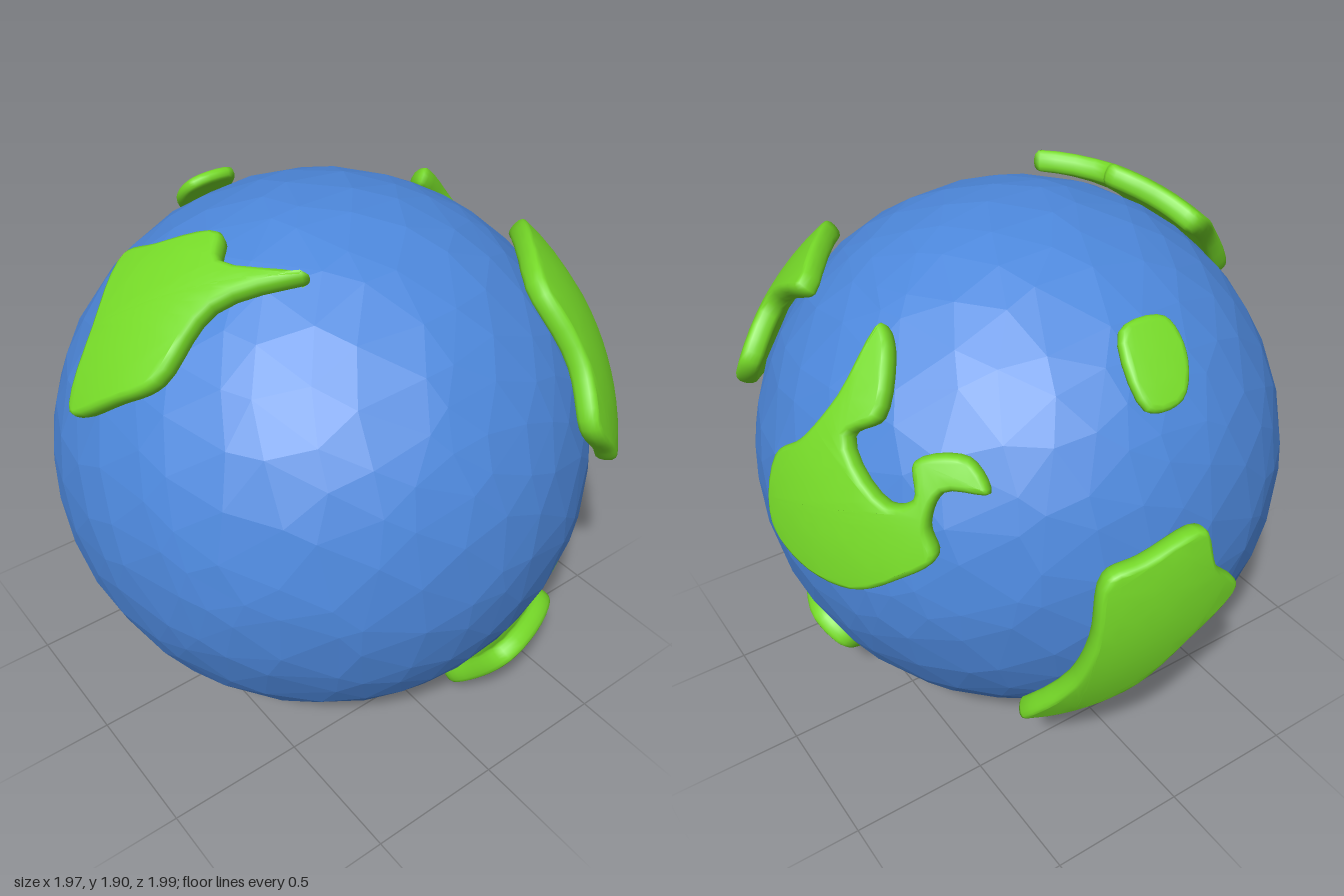
import * as THREE from 'three';
import { mergeVertices } from 'three/addons/utils/BufferGeometryUtils.js';

const CENTRE = new THREE.Vector3(-0.03, 0.975, 0.045);
const RADIUS = 0.95;

// Directions an outline can be drawn from: azimuth and elevation in degrees
const FRONT = [0, 0];
const SIDE = [90, 0];
const TOP = [0, 90];
const BACK_LOW = [141, -25];

// Direction from the globe centre to an outline point; a triple is already a position in space
function toDirection(p, [azimuth, elevation]) {
  if (p.length === 3) return new THREE.Vector3(...p).sub(CENTRE).normalize();
  const a = THREE.MathUtils.degToRad(azimuth), e = THREE.MathUtils.degToRad(elevation);
  const out = new THREE.Vector3(Math.sin(a) * Math.cos(e), Math.sin(e), Math.cos(a) * Math.cos(e));
  const right = new THREE.Vector3(Math.cos(a), 0, -Math.sin(a));
  const up = out.clone().cross(right);
  const u = p[0] - right.dot(CENTRE), v = p[1] - up.dot(CENTRE);
  const w = Math.sqrt(Math.max(0.002, 1.03 ** 2 - u * u - v * v));
  return right.multiplyScalar(u).addScaledVector(up, v).addScaledVector(out, w).normalize();
}

// Bisect long edges so a flat cap can bend round the globe
function subdivide(a, b, c, limit, out) {
  const ab = a.distanceTo(b), bc = b.distanceTo(c), ca = c.distanceTo(a);
  const longest = Math.max(ab, bc, ca);
  if (longest <= limit) {
    out.push(a, b, c);
    return;
  }
  if (bc === longest) [a, b, c] = [b, c, a];
  else if (ca === longest) [a, b, c] = [c, a, b];
  const m = a.clone().add(b).multiplyScalar(0.5);
  subdivide(a, m, c, limit, out);
  subdivide(m, b, c, limit, out);
}

// A rounded slab extruded on the tangent plane, then wrapped onto the globe
function landGeometry(view, outline, { hole, inner = 0.965, outer = 1.04 } = {}) {
  const rim = outline.map((p) => toDirection(p, view));
  const normal = rim.reduce((sum, d) => sum.add(d), new THREE.Vector3()).normalize();
  const across = new THREE.Vector3(0.3, 1, 0.2).cross(normal).normalize();
  const along = normal.clone().cross(across);
  const smoothLoop = (dirs) => {
    const flat = dirs.map((d) => new THREE.Vector3(d.dot(across), d.dot(along), 0).divideScalar(d.dot(normal)));
    return new THREE.CatmullRomCurve3(flat, true).getPoints(dirs.length * 5).slice(0, -1)
      .map((p) => new THREE.Vector2(p.x, p.y));
  };
  const shape = new THREE.Shape(smoothLoop(rim));
  if (hole) {
    const ring = new THREE.EllipseCurve(hole.x, hole.y, hole.rx, hole.ry).getPoints(8).slice(0, -1);
    shape.holes.push(new THREE.Path(smoothLoop(ring.map((p) => toDirection([p.x, p.y], view)))));
  }

  const thickness = outer - inner, bevel = thickness * 0.42;
  const slab = new THREE.ExtrudeGeometry(shape, {
    depth: thickness - 2 * bevel, bevelThickness: bevel, bevelSize: 0.022, bevelOffset: -0.022, bevelSegments: 3,
  });
  const pos = slab.attributes.position, points = [];
  const corner = (i) => new THREE.Vector3().fromBufferAttribute(pos, i);
  for (let i = 0; i < pos.count; i += 3) subdivide(corner(i), corner(i + 1), corner(i + 2), 0.09, points);

  const wrapped = points.map((p) => normal.clone().addScaledVector(across, p.x).addScaledVector(along, p.y)
    .setLength(inner + bevel + p.z));
  const geometry = mergeVertices(new THREE.BufferGeometry().setFromPoints(wrapped), 1e-4);
  geometry.computeVertexNormals();
  return geometry;
}

// Faceted ball with slightly irregular triangles
function oceanGeometry() {
  const geometry = new THREE.IcosahedronGeometry(1, 6);
  const pos = geometry.attributes.position, p = new THREE.Vector3();
  for (let i = 0; i < pos.count; i++) {
    p.fromBufferAttribute(pos, i);
    const { x, y, z } = p;
    p.x += 0.035 * Math.sin(31 * y + 47 * z + 13 * x);
    p.y += 0.035 * Math.sin(41 * z + 29 * x + 17 * y);
    p.z += 0.035 * Math.sin(37 * x + 43 * y + 11 * z);
    p.setLength(RADIUS);
    pos.setXYZ(i, p.x, p.y, p.z);
  }
  geometry.computeVertexNormals();
  return geometry;
}

export function createModel() {
  const model = new THREE.Group();
  model.name = 'globe';
  const blue = new THREE.MeshStandardMaterial({ color: 0x4d88dc, flatShading: true });
  const green = new THREE.MeshStandardMaterial({ color: 0x76da28 });
  const add = (name, geometry, material) => {
    const mesh = new THREE.Mesh(geometry, material);
    mesh.name = name;
    mesh.position.copy(CENTRE);
    model.add(mesh);
  };

  add('ocean', oceanGeometry(), blue);

  add('frontContinent', landGeometry(FRONT, [
    [.38, 1.73], [.66, 1.71], [.69, 1.55], [.82, 1.38], [.81, 1.23],
    [.68, 1.15], [.6, 1.07], [.52, 1.16], [.39, 1.32], [.42, 1.5],
  ]), green);

  // Broad body with a northern neck and a hooked arm
  add('sideContinent', landGeometry(SIDE, [
    [.17, 1.76], [.25, 1.72], [.35, 1.56], [.29, 1.49], [.47, 1.35], [.53, 1.38], [.49, 1.48],
    [.6, 1.51], [.68, 1.42], [.59, 1.41], [.59, 1.31], [.63, 1.22], [.55, 1.12], [.42, 1.03],
    [.22, 1.03], [.07, 1.11], [.04, 1.34], [.13, 1.43], [.19, 1.58],
  ]), green);

  // Wraps under the globe, with an inland sea
  add('lowerContinent', landGeometry(FRONT, [
    [.13, .45], [.32, .48], [.46, .46], [.48, .37], [.6, .48], [.745, .56, .59], [.73, .39, .47], [.8, .37, .2],
    [.74, .28, .085], [.575, .145, .165], [.3, 0, .31], [.25, .09, .51], [.15, .15], [.06, .19], [.07, .29],
  ], { hole: { x: 0.3, y: 0.235, rx: 0.095, ry: 0.07 } }), green);

  add('upperContinent', landGeometry(TOP, [
    [-.95, 0], [-.8, .09], [-.61, .2], [-.55, .09], [-.43, -.08],
    [-.49, -.17], [-.34, -.4], [-.59, -.27], [-.79, -.275], [-.88, -.17],
  ]), green);

  add('backContinent', landGeometry(BACK_LOW, [
    [.34, 1.42], [.45, 1.43], [.63, 1.41], [.68, 1.27], [.76, 1.11],
    [.61, 1.02], [.43, .86], [.08, .77], [.25, 1.02], [.31, 1.2],
  ]), green);

  add('smallIsland', landGeometry(TOP, [
    [-.14, .7], [-.06, .79], [.07, .78], [.05, .61], [-.12, .61],
  ], { inner: 0.985, outer: 1.03 }), green);

  return model;
}
